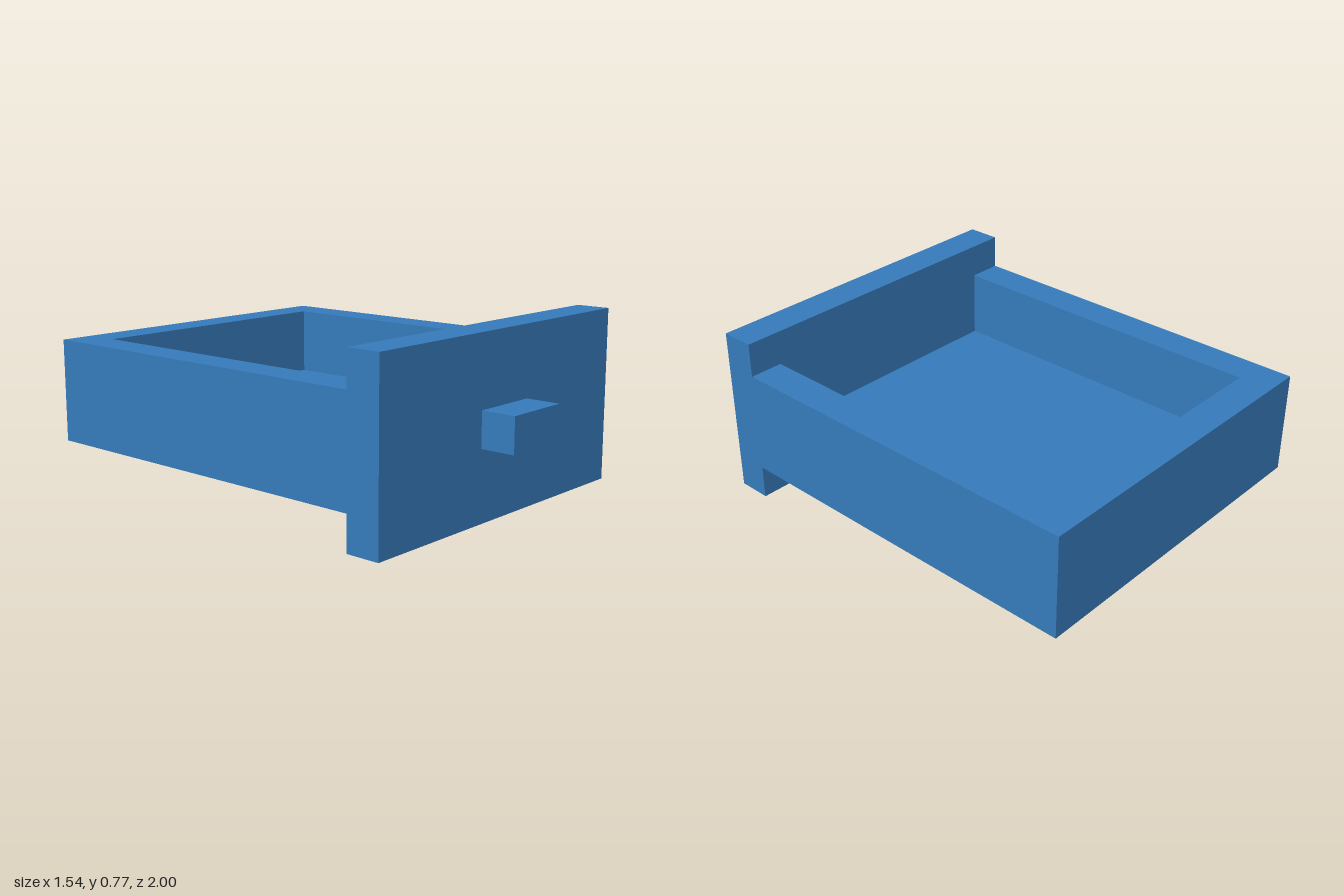
import * as THREE from 'three';

const U = 2 / 13; // board thickness; every dimension is a multiple of it

export function createModel() {
  const model = new THREE.Group();
  model.name = 'drawer';
  const blue = new THREE.MeshStandardMaterial({ color: 0x3579b9 });
  blue.name = 'blue';

  const add = (name, geometry) => {
    const mesh = new THREE.Mesh(geometry, blue);
    mesh.name = name;
    model.add(mesh);
    return mesh;
  };

  // Box from size and centre, in board thicknesses
  const addBox = (name, [w, h, d], [x, y, z]) =>
    add(name, new THREE.BoxGeometry(w * U, h * U, d * U)).position.set(x * U, y * U, z * U);

  // Side and back walls: one U-shaped plan, open towards the front panel
  const plan = [[-5, -4.5], [5, -4.5], [5, 6.5], [-5, 6.5], [-5, -4.5], [-4, -4.5], [-4, 5.5], [4, 5.5], [4, -4.5]];
  const outline = [plan[0], plan[5], plan[6], plan[7], plan[8], plan[1], plan[2], plan[3]];
  const shape = new THREE.Shape(outline.map(([x, y]) => new THREE.Vector2(x * U, y * U)));
  const walls = new THREE.ExtrudeGeometry(shape, { depth: 3 * U, bevelEnabled: false });
  walls.rotateX(-Math.PI / 2); // plan y becomes -z, depth becomes height
  add('walls', walls).position.y = U;

  // Floor set between the walls
  addBox('floor', [8, 1, 10], [0, 1.5, -0.5]);

  // Front panel overhanging the tray above and below
  addBox('frontPanel', [10, 5, 1], [0, 2.5, 5]);

  // Block handle
  addBox('handle', [2, 1, 1], [0, 2.5, 6]);

  return model;
}
